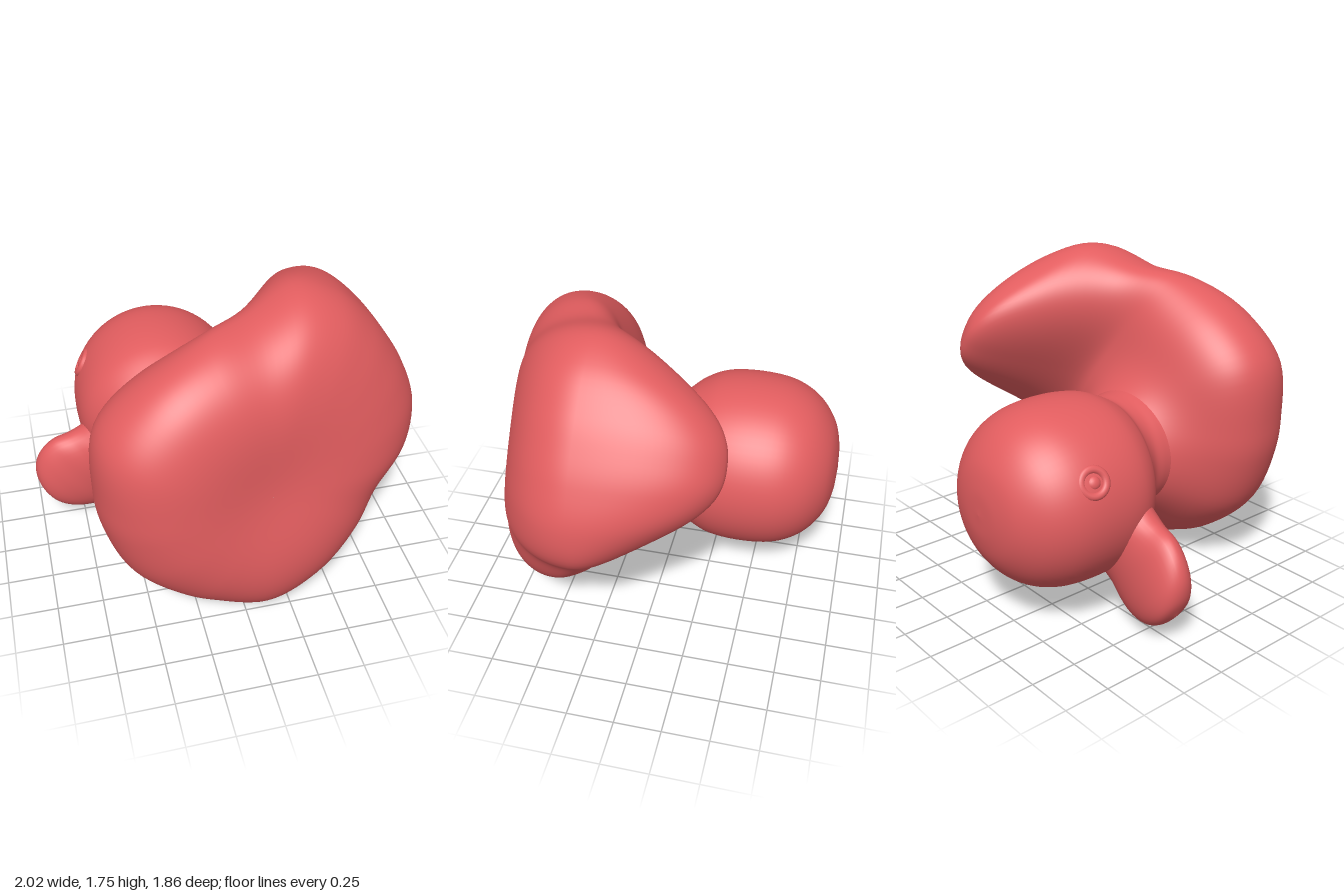
import * as THREE from 'three';

const red = new THREE.MeshStandardMaterial({ color: 0xe25d5f });
red.name = 'rubber red';

const smooth = THREE.MathUtils.smoothstep;

// Closed skin over a list of rings, each a list of [x, y, z]
function loft(rings) {
  const n = rings[0].length, index = [];
  for (let i = 0; i < rings.length - 1; i++) {
    for (let j = 0; j < n; j++) {
      const k = (j + 1) % n;
      const a = i * n + j, b = (i + 1) * n + j, c = i * n + k, d = (i + 1) * n + k;
      index.push(a, b, c, b, d, c);
    }
  }
  const g = new THREE.BufferGeometry();
  g.setAttribute('position', new THREE.Float32BufferAttribute(rings.flat(2), 3));
  g.setIndex(index);
  g.computeVertexNormals();
  return g;
}

// Smooth interpolation through rows of three numbers
function spline(rows, count) {
  return new THREE.CatmullRomCurve3(rows.map(r => new THREE.Vector3(...r))).getPoints(count);
}

function part(name, geometry) {
  const m = new THREE.Mesh(geometry, red);
  m.name = name;
  return m;
}

// Duck space: x runs to the tail, y is the duck's own up, z is across.

function bodyGeometry() {
  // Half of the outline seen from above, mirrored
  const half = [[-.8, .3], [-.71, .47], [-.49, .74], [-.18, .81], [.2, .75], [.42, .65], [.69, .57], [.825, .4], [.88, .18]];
  const outline = [[.89, 0], ...half.slice().reverse(), [-.87, 0], ...half.map(([u, v]) => [u, -v])];
  const curve = new THREE.CatmullRomCurve3(outline.map(([u, v]) => new THREE.Vector3(u, 0, v)), true);
  const edge = curve.getPoints(128).slice(0, 128);

  const rim = u => -.55 + .28 * smooth(u, -.1, .75);
  const tail = u => smooth(u, .16, .64);
  const bottom = (u, v) => -.955 + .28 * smooth(u, -.6, .95) + .04 * Math.exp(-(u * u + v * v) / .1);
  const top = (u, v) => {
    // Shoulder rising to the neck, then the broad upswept tail
    const shoulder = .5 * Math.exp(-((u + .3) ** 2 + (v + .05) ** 2) / .09);
    const width = v > 0 ? .54 : .5;
    return -.2 + shoulder * (1 - tail(u)) + .66 * tail(u) * Math.exp(-((Math.abs(v) / width) ** 2.5));
  };

  const rings = [], steps = 96;
  for (let i = 0; i <= steps; i++) {
    const t = i / steps * Math.PI;
    const rho = Math.max(Math.sin(t), 0.0005);
    rings.push(edge.map(p => {
      const u = p.x * rho, v = p.z * rho;
      const under = t < Math.PI / 2;
      const power = under ? 4 : 4 + 3 * tail(u);
      const swell = Math.sqrt(Math.max(0, 1 - rho ** power));
      const cap = under ? bottom(u, v) : top(u, v);
      return [u, rim(u) + (cap - rim(u)) * swell, v];
    }));
  }
  return loft(rings);
}

function headGeometry() {
  // Height, radius and centre of each round section, from neck to crown
  const rows = [
    [-.3, .34, -.28], [-.2, .335, -.29], [-.1, .325, -.3], [-.03, .32, -.31],
    [.04, .34, -.35], [.12, .41, -.39], [.24, .47, -.405], [.44, .49, -.405], [.64, .465, -.405],
    [.78, .39, -.405], [.88, .265, -.405], [.92, .137, -.405], [.93, .001, -.405],
  ];
  return loft(spline(rows, 72).map(({ x: h, y: r, z: c }) => {
    const ring = [];
    for (let j = 0; j < 72; j++) {
      const a = j / 72 * Math.PI * 2;
      ring.push([c + r * Math.cos(a), h, r * Math.sin(a)]);
    }
    return ring;
  }));
}

function beakGeometry() {
  // Distance from head centre, half width, half thickness
  const rows = [
    [.36, .26, .14], [.43, .25, .145], [.5, .26, .13], [.6, .285, .12], [.7, .265, .12],
    [.79, .205, .11], [.845, .12, .08], [.87, .001, .001],
  ];
  return loft(spline(rows, 40).map(({ x: s, y: w, z: t }) => {
    const ring = [];
    for (let j = 0; j < 40; j++) {
      const a = -j / 40 * Math.PI * 2;
      ring.push([-.405 - s, .25 + .02 * smooth(s, .5, .85) + t * Math.sin(a), w * Math.cos(a)]);
    }
    return ring;
  }));
}

function eye(side) {
  const g = new THREE.Group();
  g.name = side > 0 ? 'rightEye' : 'leftEye';
  g.add(part('eyeRing', new THREE.TorusGeometry(.065, .022, 12, 36)));
  const pupil = part('pupil', new THREE.SphereGeometry(.036, 20, 14));
  pupil.scale.z = .7;
  g.add(pupil);
  const out = new THREE.Vector3(-.23, .11, .41 * side).normalize();
  g.quaternion.setFromUnitVectors(new THREE.Vector3(0, 0, 1), out);
  g.position.set(-.405, .44, 0).addScaledVector(out, .482);
  return g;
}

export function createModel() {
  const duck = new THREE.Group();
  duck.name = 'duck';
  duck.add(part('bodyAndTail', bodyGeometry()), part('headAndNeck', headGeometry()), part('beak', beakGeometry()));
  duck.add(eye(1), eye(-1));

  // Lay the duck so its underside faces the front
  const a = THREE.MathUtils.degToRad(34);
  const basis = new THREE.Matrix4().makeBasis(
    new THREE.Vector3(Math.cos(a), Math.sin(a), 0),
    new THREE.Vector3(0, 0, -1),
    new THREE.Vector3(-Math.sin(a), Math.cos(a), 0),
  );
  duck.quaternion.setFromRotationMatrix(basis);
  duck.position.set(.1, .862, 0);

  const model = new THREE.Group();
  model.name = 'toyDuck';
  model.add(duck);
  return model;
}
